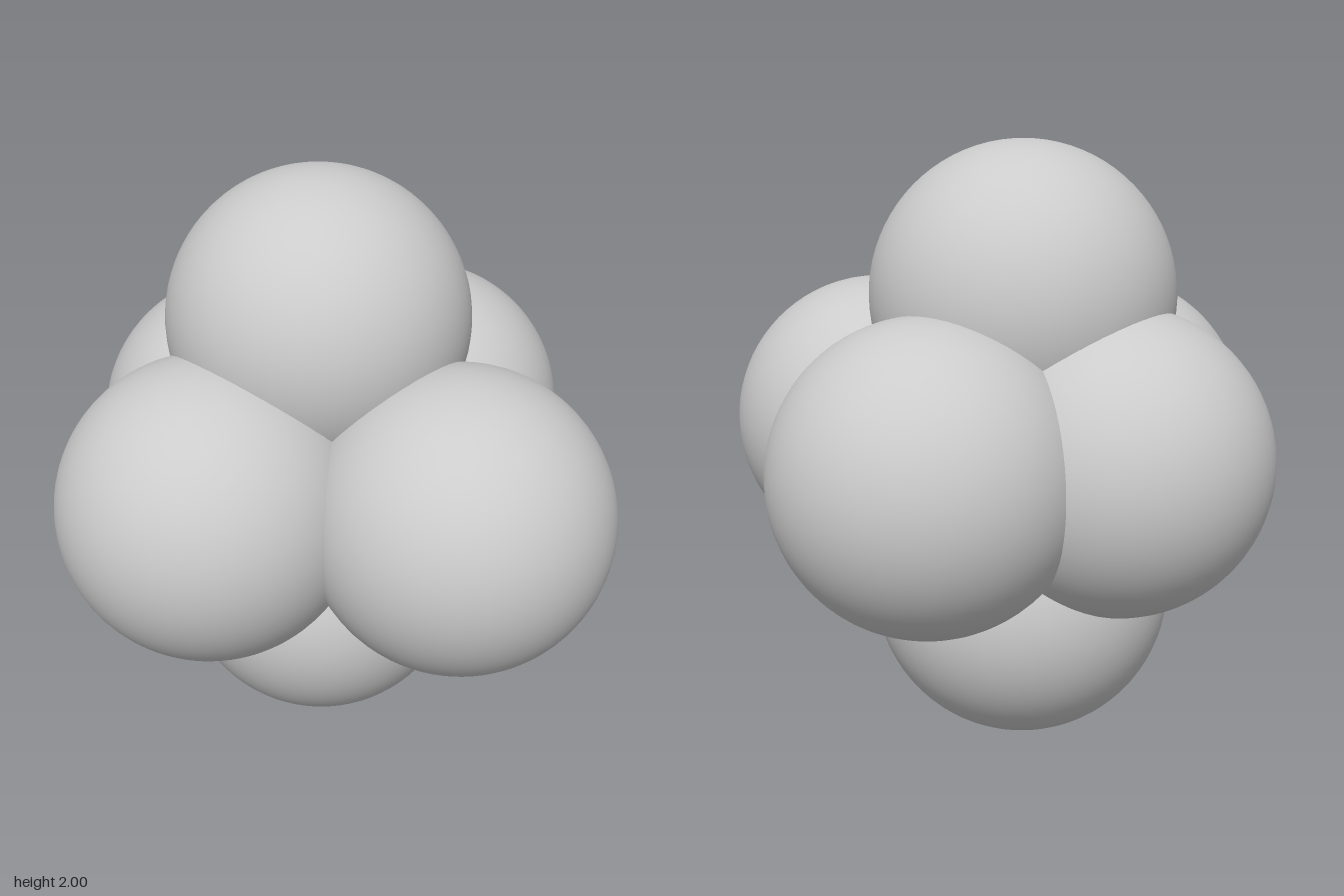
import * as THREE from 'three';

export function createModel() {
  const group = new THREE.Group();
  const material = new THREE.MeshStandardMaterial({ color: 0xcccccc });
  const ball = new THREE.SphereGeometry(0.5, 64, 40);

  // Six overlapping balls; the front one sits further out than the back one
  const centres = {
    topBall: [0, 1.5, -0.125],
    bottomBall: [0, 0.5, -0.125],
    leftBall: [0.5, 1, -0.125],
    rightBall: [-0.5, 1, -0.125],
    frontBall: [0, 1, 0.5],
    backBall: [0, 1, -0.5],
  };

  for (const [name, centre] of Object.entries(centres)) {
    const mesh = new THREE.Mesh(ball, material);
    mesh.name = name;
    mesh.position.set(...centre);
    group.add(mesh);
  }
  return group;
}
